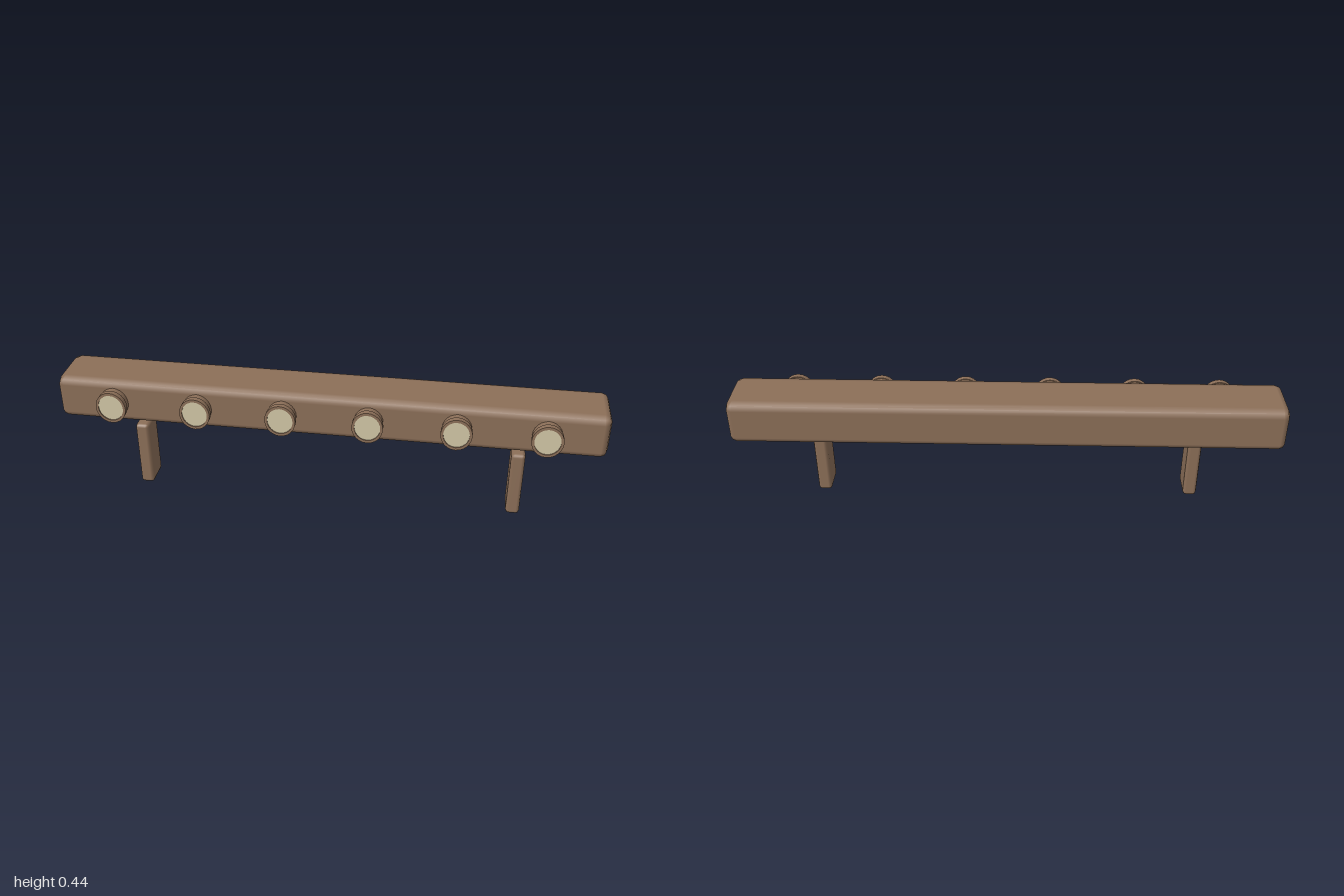
import * as THREE from 'three';
import { RoundedBoxGeometry } from 'three/addons/geometries/RoundedBoxGeometry.js';
import { toCreasedNormals } from 'three/addons/utils/BufferGeometryUtils.js';

export function createModel() {
  const model = new THREE.Group();
  model.name = 'lampBar';

  const brown = new THREE.MeshStandardMaterial({ color: 0x8c6f58 });
  brown.name = 'brown';
  const cream = new THREE.MeshStandardMaterial({ color: 0xd2c8a6 });
  cream.name = 'cream';

  const add = (name, geometry, material, x, y, z, parent = model) => {
    const mesh = new THREE.Mesh(geometry, material);
    mesh.name = name;
    mesh.position.set(x, y, z);
    parent.add(mesh);
    return mesh;
  };

  // Long bar with softened edges, wider bevel along the depth
  const barGeo = new RoundedBoxGeometry(2, 0.163, 0.155, 1, 0.026).scale(1, 1, 1.4);
  add('bar', barGeo, brown, 0, 0.3545, -0.0215);

  // Two short posts, standing just below the bar
  const postGeo = new RoundedBoxGeometry(0.05, 0.256, 0.109, 1, 0.012);
  for (const side of [-1, 1]) {
    add(side < 0 ? 'rightPost' : 'leftPost', postGeo, brown, side * 0.695, 0.129, 0.0225);
  }

  // Lamp housing: neck, wider rim and a shallow recess, turned to face +z
  const profile = [
    [0.058, 0.07], [0.058, 0.111], [0.0615, 0.111], [0.0615, 0.131],
    [0.051, 0.131], [0.051, 0.124],
  ].map(([r, h]) => new THREE.Vector2(r, h));
  const housingGeo = toCreasedNormals(
    new THREE.LatheGeometry(profile, 24).rotateX(Math.PI / 2).scale(0.91, 1, 1), 0.6);
  const lensGeo = new THREE.CircleGeometry(0.051, 24).scale(0.91, 1, 1);

  // Row of six lamps along the front
  for (let i = 0; i < 6; i++) {
    const lamp = new THREE.Group();
    lamp.name = `lamp${i + 1}`;
    lamp.position.set((i - 2.5) * 0.3136, 0.355, 0);
    add('housing', housingGeo, brown, 0, 0, 0, lamp);
    add('lens', lensGeo, cream, 0, 0, 0.127, lamp);
    model.add(lamp);
  }
  return model;
}
